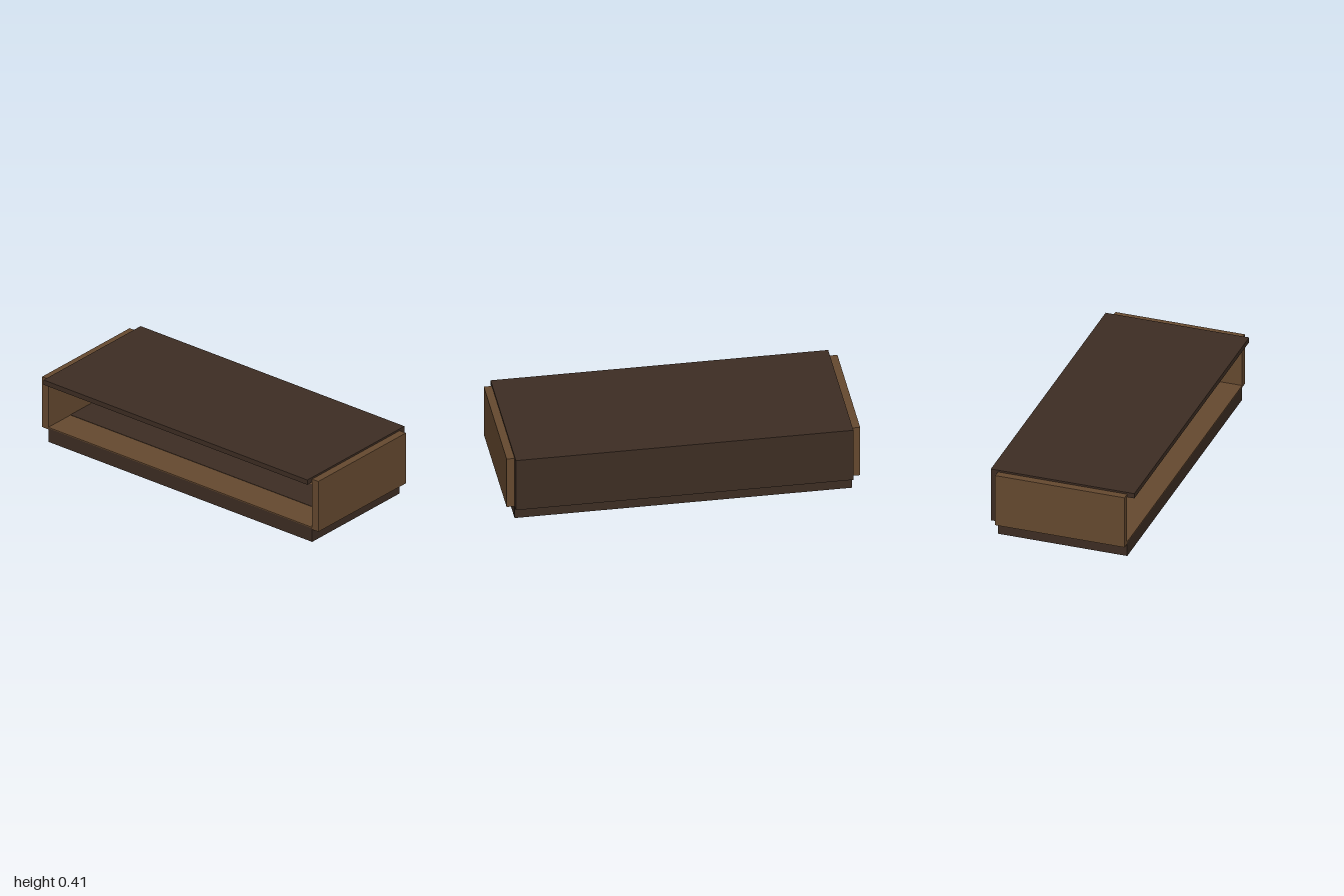
import * as THREE from 'three';

const darkWood = new THREE.MeshStandardMaterial({ color: 0x3d2d23 });
darkWood.name = 'darkWood';
const brownWood = new THREE.MeshStandardMaterial({ color: 0x65492f });
brownWood.name = 'brownWood';
const paleGlass = new THREE.MeshStandardMaterial({ color: 0xa8cad4 });
paleGlass.name = 'paleGlass';

// Box given by its lower and upper corner
function box(parent, name, material, [x0, y0, z0], [x1, y1, z1]) {
  const mesh = new THREE.Mesh(new THREE.BoxGeometry(x1 - x0, y1 - y0, z1 - z0), material);
  mesh.position.set((x0 + x1) / 2, (y0 + y1) / 2, (z0 + z1) / 2);
  mesh.name = name;
  parent.add(mesh);
  return mesh;
}

export function createModel() {
  const model = new THREE.Group();
  model.name = 'openFrontedRoom';
  const W = 0.955; // half width between the side walls
  const D = 0.383; // half depth of the floor
  const E = 0.425; // half depth of the roof

  // Shell
  box(model, 'base', darkWood, [-W, 0, -D], [W, 0.085, D]);
  box(model, 'floor', brownWood, [-W, 0.085, -D], [W, 0.091, D]);
  box(model, 'floorRunner', darkWood, [-W, 0.091, -0.02], [W, 0.093, 0.19]);
  box(model, 'backWall', darkWood, [-W, 0.078, -E], [W, 0.375, -D]);
  box(model, 'roof', darkWood, [-W, 0.375, -E], [W, 0.405, E]);
  for (const side of [-1, 1]) {
    const wall = box(model, side > 0 ? 'leftWall' : 'rightWall', brownWood,
      [W, 0.078, -D], [1, 0.394, D]);
    wall.position.x *= side;
  }

  // Three bays, each with a window, bench, post and ceiling lamp
  for (const x of [-0.64, 0, 0.64]) {
    const bay = new THREE.Group();
    bay.name = 'bay';
    bay.position.x = x;
    box(bay, 'window', paleGlass, [-0.051, 0.177, -D], [0.051, 0.263, -D + 0.006]);
    box(bay, 'bench', brownWood, [-0.04, 0.107, -0.27], [0.04, 0.144, -0.19]);
    box(bay, 'benchFoot', darkWood, [-0.03, 0.091, -0.26], [0.03, 0.107, -0.2]);
    box(bay, 'post', darkWood, [-0.011, 0.144, -0.24], [0.011, 0.198, -0.22]);
    box(bay, 'ceilingLamp', brownWood, [-0.014, 0.353, -0.244], [0.014, 0.375, -0.216]);
    model.add(bay);
  }
  return model;
}
